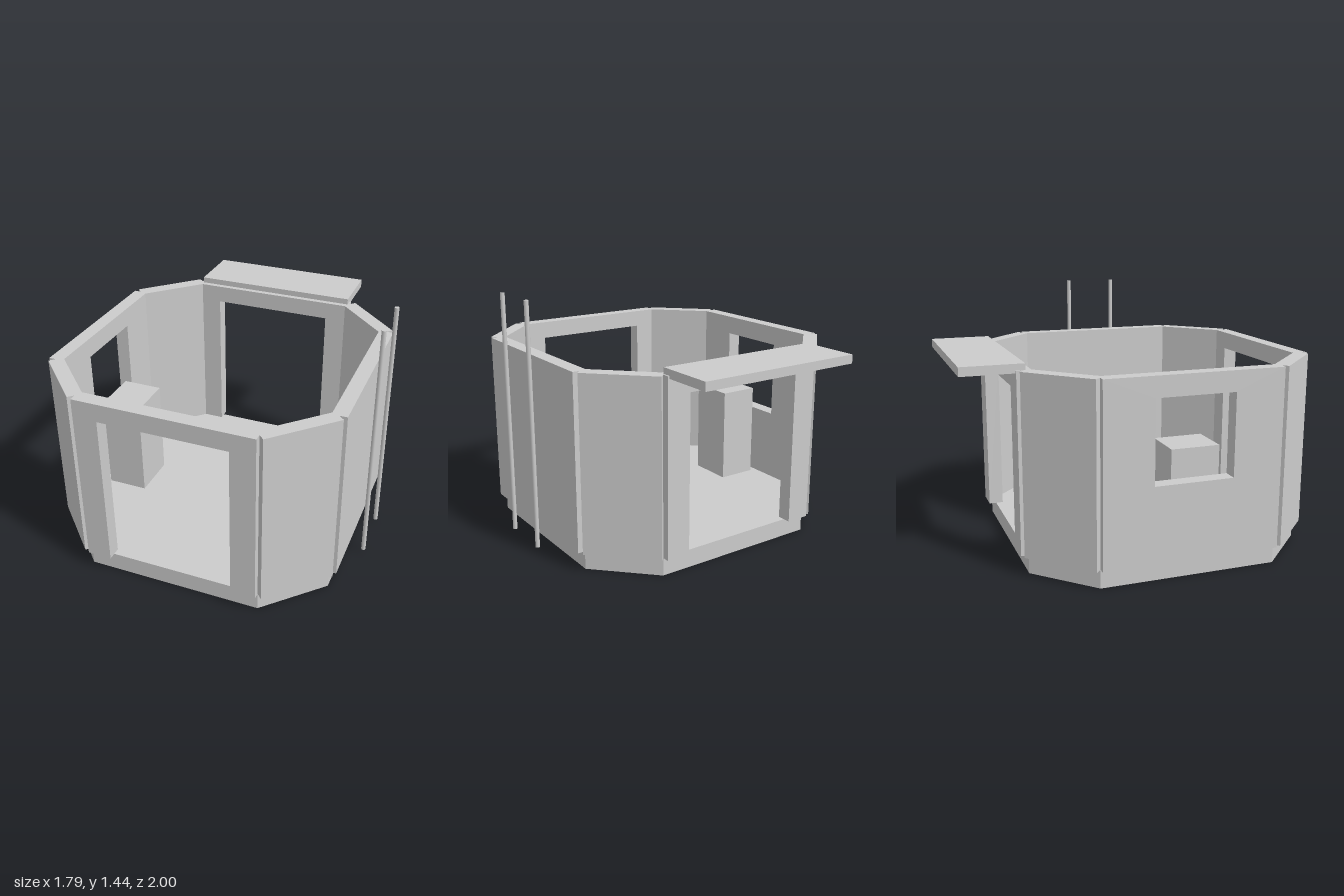
import * as THREE from 'three';

export function createModel() {
  const model = new THREE.Group();
  const grey = new THREE.MeshStandardMaterial({ color: 0xcccccc });

  const add = (name, geometry, parent = model) => {
    const mesh = new THREE.Mesh(geometry, grey);
    mesh.name = name;
    parent.add(mesh);
    return mesh;
  };
  // Box from its lower and upper limits on each axis
  const box = (name, x0, x1, y0, y1, z0, z1, parent) =>
    add(name, new THREE.BoxGeometry(x1 - x0, y1 - y0, z1 - z0), parent)
      .position.set((x0 + x1) / 2, (y0 + y1) / 2, (z0 + z1) / 2);
  const outline = (points) => new THREE.Shape(points.map(([x, y]) => new THREE.Vector2(x, y)));

  // Cabin centre, floor octagon and wall sizes
  const cx = -0.046, cz = 0.147;
  const R = 0.8125, C = 0.506, FLOOR = 0.105;
  const H = 1.015, T = 0.084, DOOR = 0.365;

  const cabin = new THREE.Group();
  cabin.name = 'cabin';
  cabin.position.set(cx, 0, cz);
  model.add(cabin);

  // Octagonal floor slab
  const octagon = outline([[R, -C], [R, C], [C, R], [-C, R], [-R, C], [-R, -C], [-C, -R], [C, -R]]);
  const slab = new THREE.ExtrudeGeometry(octagon, { depth: FLOOR, bevelEnabled: false });
  slab.rotateX(-Math.PI / 2);
  add('floorSlab', slab, cabin);

  // Wall panels: four long, four short across the corners
  const rect = (w) => outline([[-w, 0], [w, 0], [w, H], [-w, H]]);
  const doorWall = () => outline([[-C, 0], [-DOOR, 0], [-DOOR, 0.91], [DOOR, 0.91],
    [DOOR, 0], [C, 0], [C, H], [-C, H]]);
  const windowWall = () => {
    const shape = rect(C);
    shape.holes.push(outline([[-0.225, 0.435], [-0.225, 0.9], [0.225, 0.9], [0.225, 0.435]]));
    return shape;
  };
  const wall = (name, shape, turn, distance) => {
    const g = new THREE.ExtrudeGeometry(shape, { depth: T, bevelEnabled: false });
    g.translate(0, 0, -T / 2);
    const mesh = add(name, g, cabin);
    mesh.rotation.y = turn;
    mesh.position.set(Math.sin(turn) * distance, FLOOR, Math.cos(turn) * distance);
  };
  wall('frontDoorWall', doorWall(), 0, R);
  wall('backDoorWall', doorWall(), Math.PI, R);
  wall('leftWall', rect(C), Math.PI / 2, R);
  wall('rightWindowWall', windowWall(), -Math.PI / 2, R);
  const cornerHalf = (R - C) * Math.SQRT1_2;
  for (let i = 0; i < 4; i++) {
    wall('cornerWall', rect(cornerHalf), Math.PI / 4 + i * Math.PI / 2, (R + C) * Math.SQRT1_2);
  }

  // Flat canopy above the back doorway
  box('canopy', -0.54, 0.45, 1.105, 1.155, -1, -0.655);

  // Cabinet standing by the window
  box('cabinet', -0.775, -0.535, FLOOR, 0.69, 0.065, 0.345);

  // Desk against the left wall
  const desk = new THREE.Group();
  desk.name = 'desk';
  model.add(desk);
  box('deskTop', 0.465, 0.74, 0.425, 0.46, -0.08, 0.49, desk);
  for (const z of [-0.06, 0.43]) box('deskSide', 0.475, 0.74, FLOOR, 0.425, z, z + 0.04, desk);

  // Screen on the desk
  box('screen', 0.53, 0.555, 0.49, 0.663, 0.08, 0.33);
  box('screenStand', 0.555, 0.57, 0.46, 0.58, 0.19, 0.22);

  // Chair seat and backrest
  box('chairSeat', 0.265, 0.465, 0.295, 0.33, 0.105, 0.305);
  box('chairBack', 0.255, 0.292, 0.33, 0.58, 0.105, 0.305);

  // Two poles outside the left wall
  for (const z of [-0.003, 0.297]) {
    add('pole', new THREE.CylinderGeometry(0.013, 0.013, 1.425, 12)).position.set(0.878, 0.7325, z);
  }
  return model;
}
